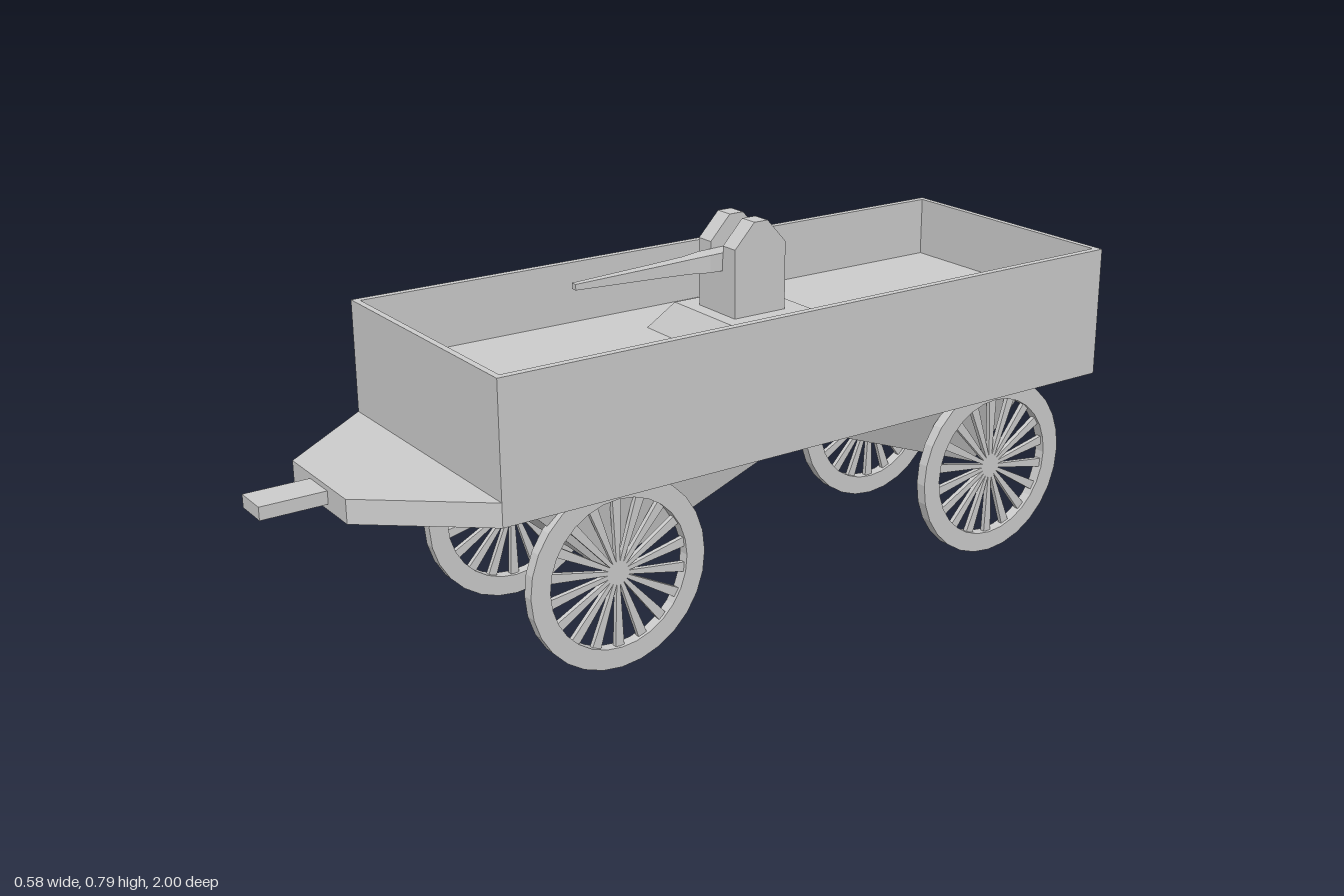
import * as THREE from 'three';
import { ConvexGeometry } from 'three/addons/geometries/ConvexGeometry.js';

const material = new THREE.MeshStandardMaterial({ color: 0xcccccc, flatShading: true });

function add(parent, name, geometry, x = 0, y = 0, z = 0) {
  const mesh = new THREE.Mesh(geometry, material);
  mesh.name = name;
  mesh.position.set(x, y, z);
  parent.add(mesh);
  return mesh;
}

// Box given by its half width and its y and z ranges
function addBox(parent, name, halfX, y0, y1, z0, z1) {
  return add(parent, name, new THREE.BoxGeometry(2 * halfX, y1 - y0, z1 - z0), 0, (y0 + y1) / 2, (z0 + z1) / 2);
}

// Convex solid from [halfWidth, y, z] points, each mirrored across x
function addHull(parent, name, points) {
  const mirrored = points.flatMap(([x, y, z]) => [new THREE.Vector3(x, y, z), new THREE.Vector3(-x, y, z)]);
  return add(parent, name, new ConvexGeometry(mirrored));
}

// Counter-clockwise rectangle
function rectangle(shape, x, z0, z1) {
  shape.moveTo(-x, -z1);
  shape.lineTo(x, -z1);
  shape.lineTo(x, -z0);
  shape.lineTo(-x, -z0);
  shape.closePath();
  return shape;
}

// Open rectangular frame standing upright between y0 and y1
function addFrame(parent, name, outer, inner, y0, y1) {
  const shape = rectangle(new THREE.Shape(), ...outer);
  shape.holes.push(rectangle(new THREE.Path(), ...inner));
  const geometry = new THREE.ExtrudeGeometry(shape, { depth: y1 - y0, bevelEnabled: false });
  geometry.rotateX(-Math.PI / 2);
  return add(parent, name, geometry, 0, y0, 0);
}

function createWheel() {
  const wheel = new THREE.Group();
  wheel.name = 'wheel';
  const ring = new THREE.Shape().absarc(0, 0, 0.196, 0, Math.PI * 2);
  ring.holes.push(new THREE.Path().absarc(0, 0, 0.154, 0, Math.PI * 2, true));
  const rim = new THREE.ExtrudeGeometry(ring, { depth: 0.024, bevelEnabled: false, curveSegments: 14 });
  rim.translate(0, 0, -0.012);
  rim.rotateY(Math.PI / 2);
  add(wheel, 'rim', rim);
  // Spokes widen from the centre to the rim
  const spokes = 18;
  for (let i = 0; i < spokes; i++) {
    const spoke = addHull(wheel, 'spoke', [
      [0.005, 0, -0.003], [0.005, 0, 0.003], [0.005, 0.158, -0.01], [0.005, 0.158, 0.01],
    ]);
    spoke.rotation.x = (i / spokes) * Math.PI * 2;
  }
  return wheel;
}

export function createModel() {
  const wagon = new THREE.Group();
  wagon.name = 'gunWagon';

  // Open cargo box
  addFrame(wagon, 'sideWalls', [0.288, -0.81, 0.655], [0.273, -0.797, 0.642], 0.392, 0.67);
  addBox(wagon, 'floor', 0.274, 0.392, 0.541, -0.798, 0.643);

  // Tapered decks at both ends
  for (const [name, z0, z1, endX] of [['frontDeck', 0.655, 0.87, 0.114], ['rearDeck', -0.81, -0.935, 0.045]]) {
    addHull(wagon, name, [0.392, 0.44].flatMap((y) => [[0.288, y, z0], [endX, y, z1]]));
  }
  addBox(wagon, 'tongue', 0.037, 0.404, 0.43, 0.86, 1);
  addFrame(wagon, 'hitch', [0.045, -1, -0.935], [0.03, -0.986, -0.95], 0.392, 0.44);
  addBox(wagon, 'hitchCap', 0.03, 0.415, 0.46, -0.986, -0.95);

  // Wedge-shaped axle supports below the bed
  addHull(wagon, 'frontSupport', [[0.205, 0.393, 0.58], [0.205, 0.393, -0.075], [0.168, 0.193, 0.375]]);
  addHull(wagon, 'rearSupport', [[0.205, 0.393, -0.075], [0.205, 0.393, -0.725], [0.134, 0.182, -0.61]]);

  // Axles and slightly splayed wheels
  for (const z of [0.365, -0.597]) {
    const axle = new THREE.CylinderGeometry(0.004, 0.004, 0.41, 8);
    axle.rotateZ(Math.PI / 2);
    add(wagon, 'axle', axle, -0.004, 0.198, z);
    for (const x of [-0.207, 0.199]) {
      const wheel = createWheel();
      wheel.position.set(x, 0.197, z);
      wheel.rotation.z = Math.sign(x) * 0.008;
      wagon.add(wheel);
    }
  }

  // Gun plinth and mount
  const gun = new THREE.Group();
  gun.name = 'gun';
  wagon.add(gun);
  addHull(gun, 'plinth', [
    [0.152, 0.54, 0.06], [0.152, 0.54, -0.222], [0.107, 0.6, 0.02], [0.107, 0.6, -0.18],
  ]);
  addBox(gun, 'mountBase', 0.062, 0.598, 0.715, -0.135, -0.01);

  // Chamfered cheeks on either side of the barrel
  for (const side of [-1, 1]) {
    const cheek = addHull(gun, 'cheek', [
      [0.0205, 0.69, -0.01], [0.0205, 0.69, -0.135], [0.0205, 0.742, -0.01],
      [0.0205, 0.742, -0.135], [0.0205, 0.792, -0.057], [0.0205, 0.792, -0.09],
    ]);
    cheek.position.x = side * 0.0415;
  }

  // Square barrel tapering in steps: [z, half width, half height]
  const sections = [[-0.075, 0.02, 0.02], [0.02, 0.02, 0.018], [0.065, 0.014, 0.015], [0.14, 0.012, 0.012], [0.325, 0.007, 0.006]];
  for (let i = 0; i < sections.length - 1; i++) {
    addHull(gun, 'barrelSection', sections.slice(i, i + 2).flatMap(([z, x, h]) => [[x, 0.709 - h, z], [x, 0.709 + h, z]]));
  }
  return wagon;
}
